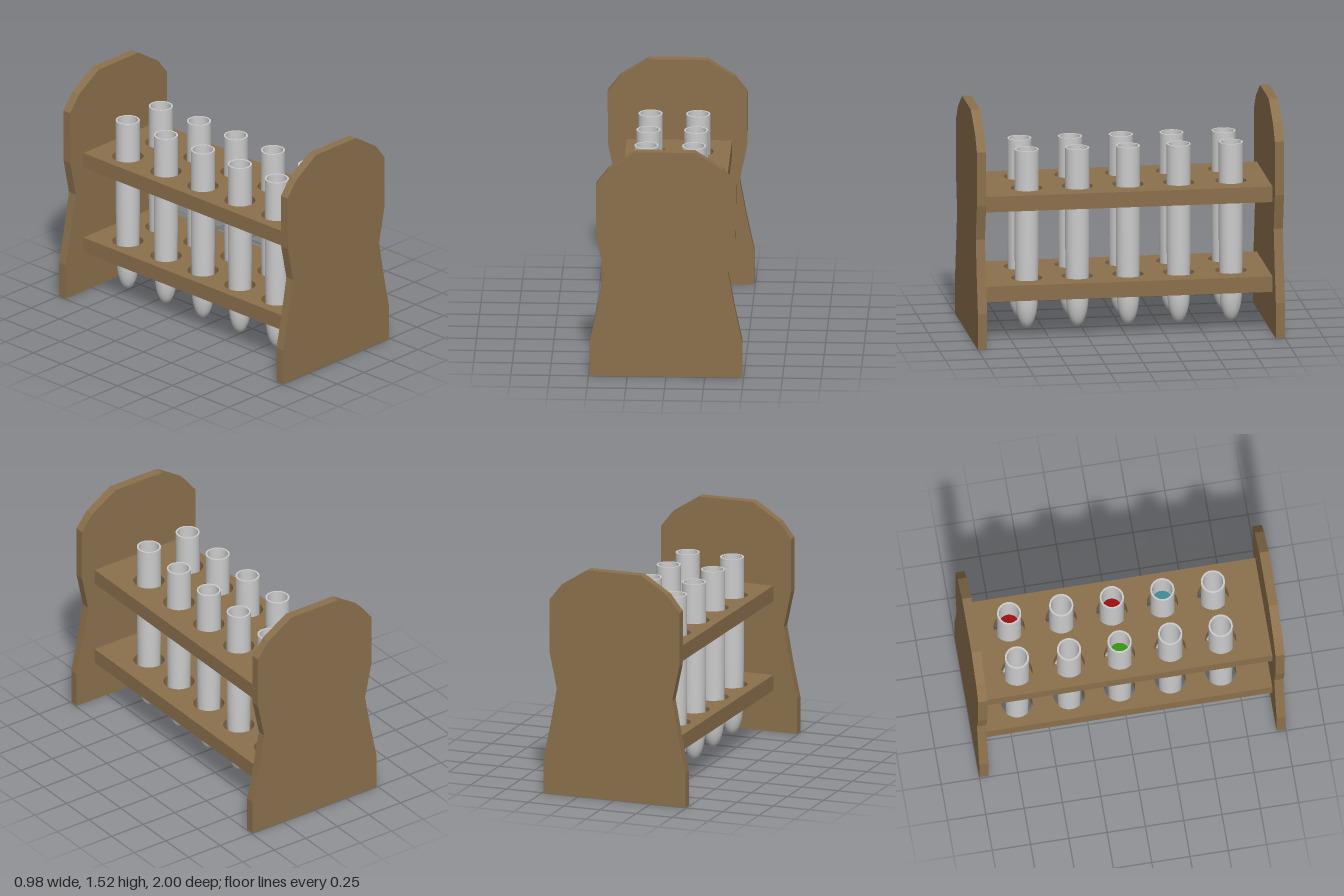
import * as THREE from 'three';

const paint = (color) => new THREE.MeshStandardMaterial({ color });
const WOOD = 0x8b704c;
const ROWS = [-0.7, -0.36, -0.03, 0.3, 0.63];
const COLUMNS = [-0.165, 0.142];

// Lathe points of a rounded-bottom tube, from the bottom centre up to the top
function tubeProfile(radius, bottom, top) {
  const pts = [];
  const bowl = 0.19;
  for (let i = 0; i <= 10; i++) {
    const a = (i / 10) * Math.PI / 2;
    pts.push(new THREE.Vector2(radius * 0.92 * Math.sin(a), bottom + bowl * (1 - Math.cos(a))));
  }
  pts.push(new THREE.Vector2(radius, bottom + 0.55), new THREE.Vector2(radius, top));
  return pts;
}

// Open glass tube: outer wall, flat rim, inner wall
function tubeGeometry(top) {
  const outer = tubeProfile(0.078, 0.045, top);
  const inner = tubeProfile(0.066, 0.06, top).reverse();
  const last = outer[outer.length - 1];
  // doubled points keep the rim sharp
  return new THREE.LatheGeometry([...outer, last.clone(), inner[0].clone(), ...inner], 32);
}

// Liquid filling a tube up to a flat surface
function liquidGeometry(level) {
  const pts = tubeProfile(0.0645, 0.063, level);
  pts.push(pts[pts.length - 1].clone(), new THREE.Vector2(0, level));
  return new THREE.LatheGeometry(pts, 32);
}

// End panel with a waisted outline and a chamfered top
function panelGeometry() {
  const side = [[0.492, 0], [0.492, 0.235], [0.443, 0.465], [0.4, 0.705],
    [0.449, 0.94], [0.451, 1.295], [0.367, 1.402], [0.186, 1.517]];
  const outline = [...side, ...side.map(([x, y]) => [-x, y]).reverse()];
  const shape = new THREE.Shape(outline.map(([x, y]) => new THREE.Vector2(x, y)));
  return new THREE.ExtrudeGeometry(shape, { depth: 0.06, bevelEnabled: false });
}

// Shelf drilled with two columns of round holes
function shelfGeometry() {
  const shape = new THREE.Shape();
  shape.moveTo(-0.328, -0.94).lineTo(0.35, -0.94).lineTo(0.35, 0.94).lineTo(-0.328, 0.94).closePath();
  for (const x of COLUMNS) for (const z of ROWS) {
    const hole = new THREE.Path();
    hole.absarc(x, -z, 0.1, 0, Math.PI * 2, true);
    shape.holes.push(hole);
  }
  const geo = new THREE.ExtrudeGeometry(shape, { depth: 0.103, bevelEnabled: false, curveSegments: 32 });
  return geo.rotateX(-Math.PI / 2);
}

export function createModel() {
  const model = new THREE.Group();
  model.name = 'testTubeRack';
  const wood = paint(WOOD);
  const glass = paint(0xcccccc);
  const add = (name, geometry, material, x, y, z) => {
    const mesh = new THREE.Mesh(geometry, material);
    mesh.name = name;
    mesh.position.set(x, y, z);
    model.add(mesh);
  };

  // Wooden frame
  const panel = panelGeometry();
  add('frontPanel', panel, wood, 0, 0, 0.94);
  add('backPanel', panel, wood, 0, 0, -1);
  const shelf = shelfGeometry();
  add('lowerShelf', shelf, wood, 0, 0.275, 0);
  add('upperShelf', shelf, wood, 0, 0.871, 0);

  // Tubes
  const tube = tubeGeometry(1.23);
  for (const x of COLUMNS) for (const z of ROWS) add('testTube', tube, glass, x, 0, z);

  // Liquids: column, row, colour
  const liquid = liquidGeometry(1.03);
  const fills = [[1, 0, 0x9b0f10], [0, 2, 0x36960f], [1, 2, 0x9b0f10], [1, 3, 0x3f8c96]];
  for (const [c, r, color] of fills) add('liquid', liquid, paint(color), COLUMNS[c], 0, ROWS[r]);

  return model;
}
